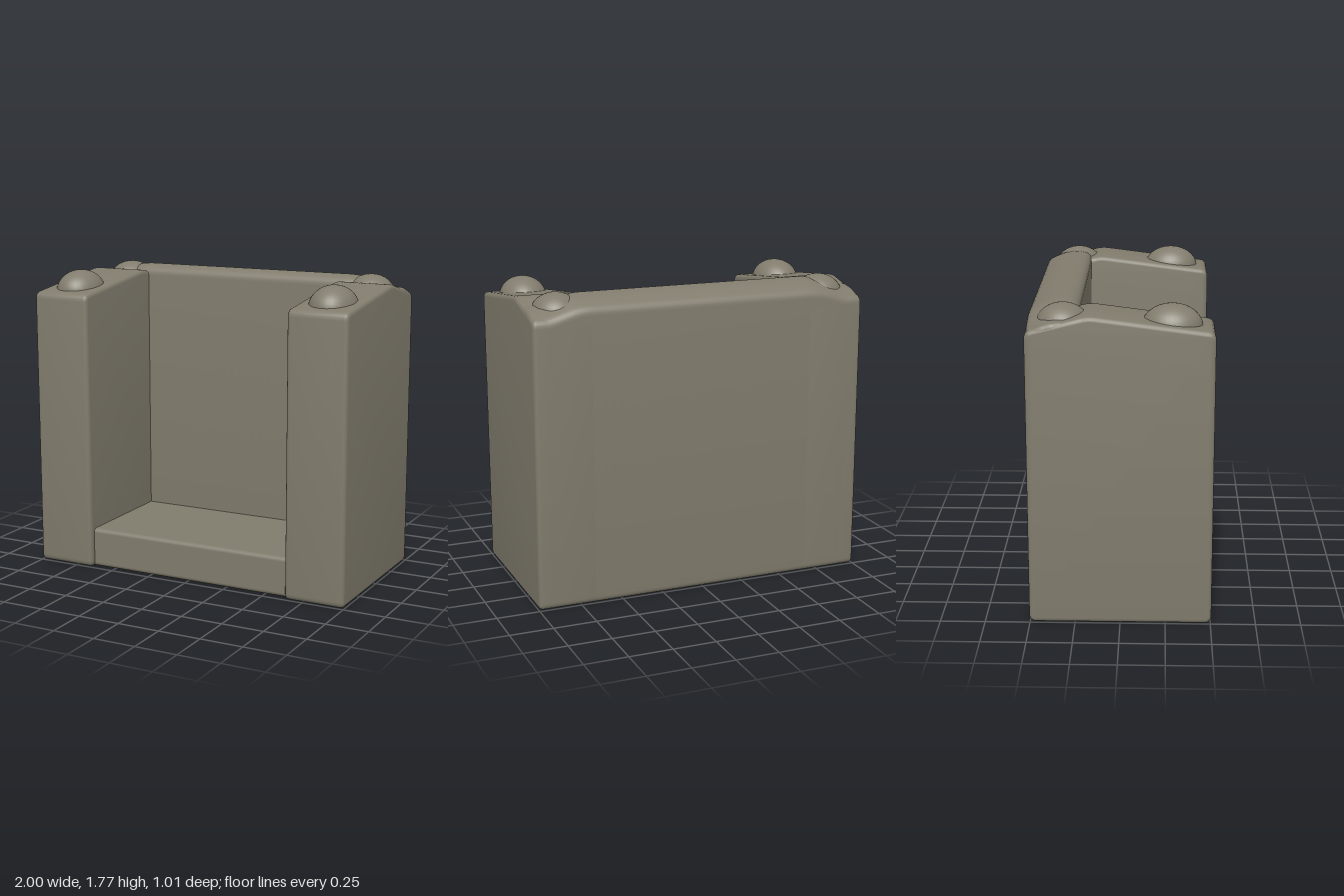
import * as THREE from 'three';
import { toCreasedNormals } from 'three/addons/utils/BufferGeometryUtils.js';
import { RoundedBoxGeometry } from 'three/addons/geometries/RoundedBoxGeometry.js';

// Closed outline with every corner rounded by radius r
function roundedShape(points, r) {
  const pts = points.map(([x, y]) => new THREE.Vector2(x, y));
  const shape = new THREE.Shape();
  pts.forEach((p, i) => {
    const prev = pts[(i + pts.length - 1) % pts.length];
    const next = pts[(i + 1) % pts.length];
    const a = p.clone().add(prev.clone().sub(p).setLength(r));
    const b = p.clone().add(next.clone().sub(p).setLength(r));
    if (i === 0) shape.moveTo(a.x, a.y);
    else shape.lineTo(a.x, a.y);
    shape.quadraticCurveTo(p.x, p.y, b.x, b.y);
  });
  shape.closePath();
  return shape;
}

// Extrudes a (z, y) outline across x, between x0 and x1, with soft edges
function slab(points, x0, x1, steps = 1) {
  const bevel = 0.025;
  const geometry = new THREE.ExtrudeGeometry(roundedShape(points, 0.04), {
    depth: x1 - x0 - 2 * bevel, steps, curveSegments: 5,
    bevelThickness: bevel, bevelSize: bevel, bevelOffset: -bevel, bevelSegments: 4,
  });
  geometry.rotateY(-Math.PI / 2);
  geometry.translate(x1 - bevel, 0, 0);
  return geometry;
}

export function createModel() {
  const group = new THREE.Group();
  const stone = new THREE.MeshStandardMaterial({ color: 0x817c6d });
  stone.name = 'stone';

  function add(name, geometry, x = 0, y = 0, z = 0) {
    const mesh = new THREE.Mesh(geometry, stone);
    mesh.name = name;
    mesh.position.set(x, y, z);
    group.add(mesh);
    return mesh;
  }

  // Side walls with a ridged top
  const sideProfile = [[0.505, 0.005], [0.505, 1.66], [-0.17, 1.745], [-0.505, 1.66], [-0.505, 0.005]];
  add('leftWall', toCreasedNormals(slab(sideProfile, 0.64, 1), 0.6));
  add('rightWall', toCreasedNormals(slab(sideProfile, -1, -0.64), 0.6));

  // Back wall with a crowned top that drops towards both ends
  const backProfile = [[-0.225, 0.005], [-0.225, 1.745], [-0.3, 1.775], [-0.4, 1.76], [-0.505, 1.71], [-0.505, 0.005]];
  const back = slab(backProfile, -0.998, 0.998, 40);
  const pos = back.attributes.position;
  for (let i = 0; i < pos.count; i++) {
    if (pos.getY(i) < 1.5) continue;
    const drop = 0.06 * THREE.MathUtils.smoothstep(Math.abs(pos.getX(i)), 0.68, 0.97);
    pos.setY(i, pos.getY(i) - drop);
  }
  add('backWall', toCreasedNormals(back, 0.6));

  // Floor slab between the walls
  add('floor', new RoundedBoxGeometry(1.4, 0.235, 0.925, 4, 0.025), 0, 0.1225, 0.0025);

  // Domes on the four corners
  const dome = new THREE.SphereGeometry(1, 32, 20);
  for (const side of [-1, 1]) {
    add('frontDome', dome, side * 0.82, 1.655, 0.275).scale.set(0.137, 0.125, 0.165);
    add('backDome', dome, side * 0.81, 1.665, -0.31).scale.set(0.14, 0.115, 0.145);
  }
  return group;
}
